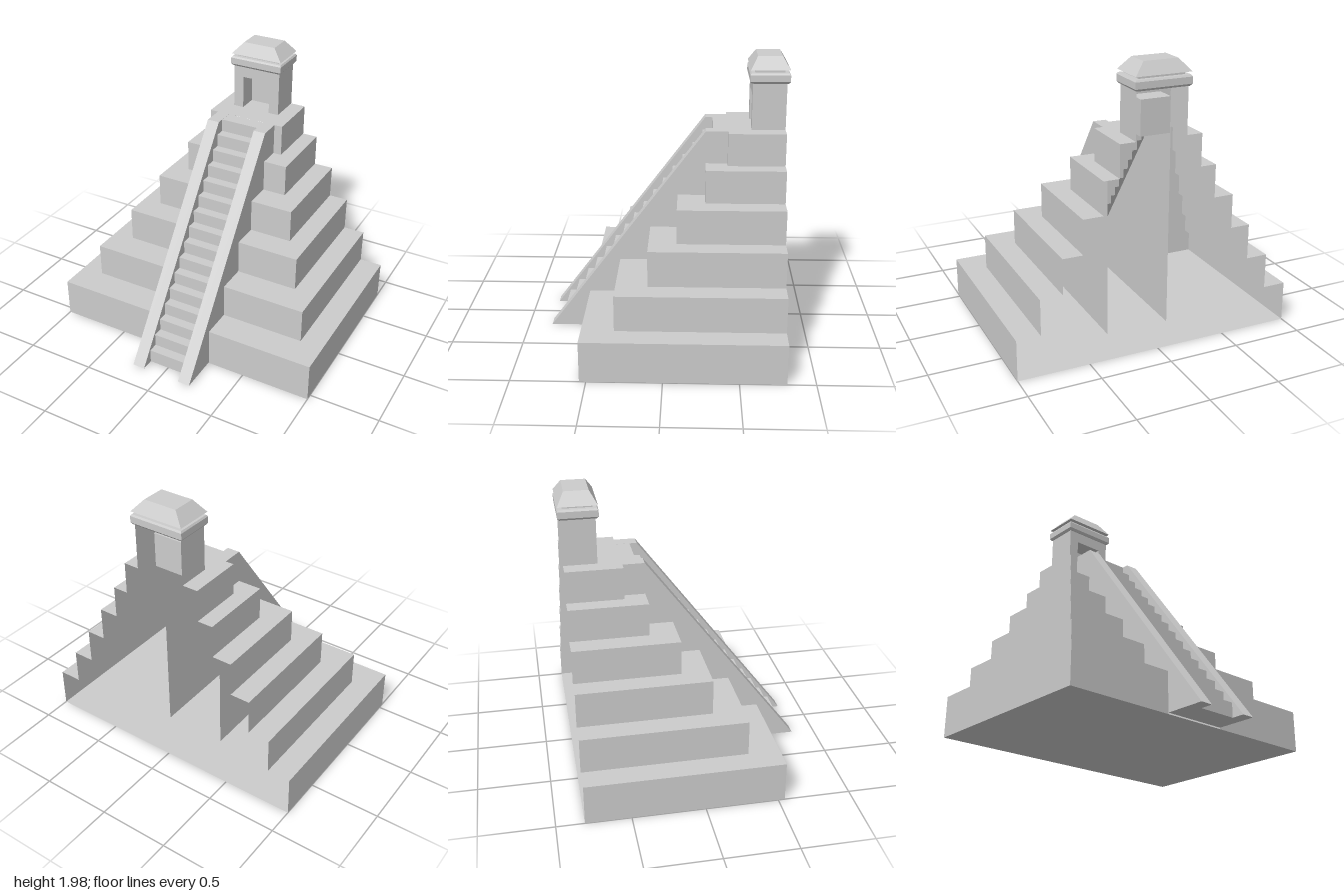
import * as THREE from 'three';

const stone = new THREE.MeshStandardMaterial({ color: 0xcccccc, side: THREE.DoubleSide, flatShading: true });
const BACK = -0.81, STAIR_W = 0.23, TREAD_W = 0.14, TOP = 1.48;

export function createModel() {
  const root = new THREE.Group();
  root.name = 'steppedPyramid';

  const add = (name, geometry) => {
    const mesh = new THREE.Mesh(geometry, stone);
    mesh.name = name;
    root.add(mesh);
    return mesh;
  };

  // Open wall: a 3D path swept along one offset vector
  const strip = (name, path, offset) => {
    const pos = [];
    const move = p => p.map((v, i) => v + offset[i]);
    for (let i = 0; i + 1 < path.length; i++) {
      const a = path[i], b = path[i + 1], c = move(b), d = move(a);
      pos.push(...a, ...b, ...c, ...a, ...c, ...d);
    }
    const g = new THREE.BufferGeometry();
    g.setAttribute('position', new THREE.Float32BufferAttribute(pos, 3));
    g.computeVertexNormals();
    return add(name, g);
  };

  const shapeOf = pts => new THREE.Shape(pts.map(p => new THREE.Vector2(p[0], p[1])));

  // Level sheet from [x, z] corners
  const level = (name, y, pts) => {
    const g = new THREE.ShapeGeometry(shapeOf(pts.map(([x, z]) => [x, -z])));
    return add(name, g.rotateX(-Math.PI / 2).translate(0, y, 0));
  };

  // Upright sheet across x from [z, y] corners
  const upright = (name, x, pts) => {
    const g = new THREE.ShapeGeometry(shapeOf(pts.map(([z, y]) => [-z, y])));
    return add(name, g.rotateY(Math.PI / 2).translate(x, 0, 0));
  };

  // Box whose top has its own half sizes
  const frustum = (name, y0, y1, bottom, top) => {
    const g = new THREE.BoxGeometry(2, y1 - y0, 2).toNonIndexed();
    const p = g.attributes.position;
    for (let i = 0; i < p.count; i++) {
      const [hx, hz] = p.getY(i) > 0 ? top : bottom;
      p.setX(i, p.getX(i) * hx);
      p.setZ(i, p.getZ(i) * hz);
    }
    g.computeVertexNormals();
    return add(name, g.translate(0, (y0 + y1) / 2, -0.695));
  };

  // Tiers: half width, front z, top y
  const tiers = [
    [1, 0.545, 0.285], [0.835, 0.325, 0.535], [0.68, 0.11, 0.785],
    [0.54, -0.08, 1.025], [0.4, -0.27, 1.255], [0.29, -0.42, TOP],
  ];
  level('floor', 0, [[-1, BACK], [1, BACK], [1, 0.545], [-1, 0.545]]);
  for (const s of [1, -1]) {
    let y0 = 0;
    tiers.forEach(([w, zf, y1], i) => {
      const path = [[s * STAIR_W, y0, zf], [s * w, y0, zf], [s * w, y0, BACK]];
      if (s < 0) path.reverse();
      strip('tierWall', path, [0, y1 - y0, 0]);
      if (i < 5) {
        const [nw, nz] = tiers[i + 1];
        level('tierLedge', y1, [[STAIR_W, nz], [STAIR_W, zf], [w, zf], [w, BACK], [nw, BACK], [nw, nz]]
          .map(([x, z]) => [s * x, z]));
      }
      y0 = y1;
    });
    // Summit floor around the temple
    level('summitFloor', TOP, [[0.18, BACK], [0.29, BACK], [0.29, -0.42], [0, -0.42], [0, -0.58], [0.18, -0.58]]
      .map(([x, z]) => [s * x, z]));
  }

  // Stair flight
  const steps = [[0.74, 0.01]];
  for (let i = 0; i < 16; i++) {
    const z = 0.74 - i * 0.0707, y = 0.11 + i * 0.0913;
    steps.push([z, y], [i < 15 ? z - 0.0707 : -0.42, y]);
  }
  const at = x => ([z, y]) => [x, y, z];
  strip('stairs', [[0.545, 0.01], ...steps].map(at(-TREAD_W)), [2 * TREAD_W, 0, 0]);

  // Sloping side ramps beside the steps
  for (const s of [1, -1]) {
    const x0 = s > 0 ? TREAD_W : -STAIR_W;
    strip('ramp', [[0.545, 0.01], [0.83, 0.01], [-0.27, TOP], [-0.42, TOP]].map(at(x0)), [STAIR_W - TREAD_W, 0, 0]);
    upright('rampOuterWall', s * STAIR_W, [[-0.5, 0], [0.545, 0], [0.545, 0.01], [0.83, 0.01], [-0.27, TOP], [-0.5, TOP]]);
    upright('rampInnerWall', s * TREAD_W, [...steps.slice(0, -1), [-0.27, TOP], [0.83, 0.01]]);
  }

  // Temple walls with a doorway
  const front = shapeOf([[-0.18, TOP], [-0.105, TOP], [-0.105, 1.72], [0.105, 1.72], [0.105, TOP],
    [0.18, TOP], [0.18, 1.81], [-0.18, 1.81]]);
  add('templeFront', new THREE.ShapeGeometry(front).translate(0, 0, -0.58));
  for (const s of [1, -1]) {
    upright('templeSide', s * 0.18, [[BACK, TOP], [-0.58, TOP], [-0.58, 1.81], [BACK, 1.81]]);
  }

  // Door recess
  strip('doorRecess', [[0.105, TOP, -0.58], [0.105, 1.72, -0.58], [-0.105, 1.72, -0.58],
    [-0.105, TOP, -0.58], [0.105, TOP, -0.58]], [0, 0, -0.14]);
  strip('doorBack', [[-0.105, TOP, -0.72], [0.105, TOP, -0.72]], [0, 0.24, 0]);

  // Cornice and roof
  frustum('corniceLower', 1.8, 1.815, [0.185, 0.122], [0.198, 0.135]);
  frustum('cornice', 1.815, 1.86, [0.198, 0.135], [0.198, 0.135]);
  frustum('corniceUpper', 1.86, 1.872, [0.198, 0.135], [0.19, 0.127]);
  frustum('roofNeck', 1.872, 1.892, [0.16, 0.1], [0.16, 0.1]);
  frustum('roof', 1.892, 1.975, [0.195, 0.133], [0.12, 0.083]);
  return root;
}
